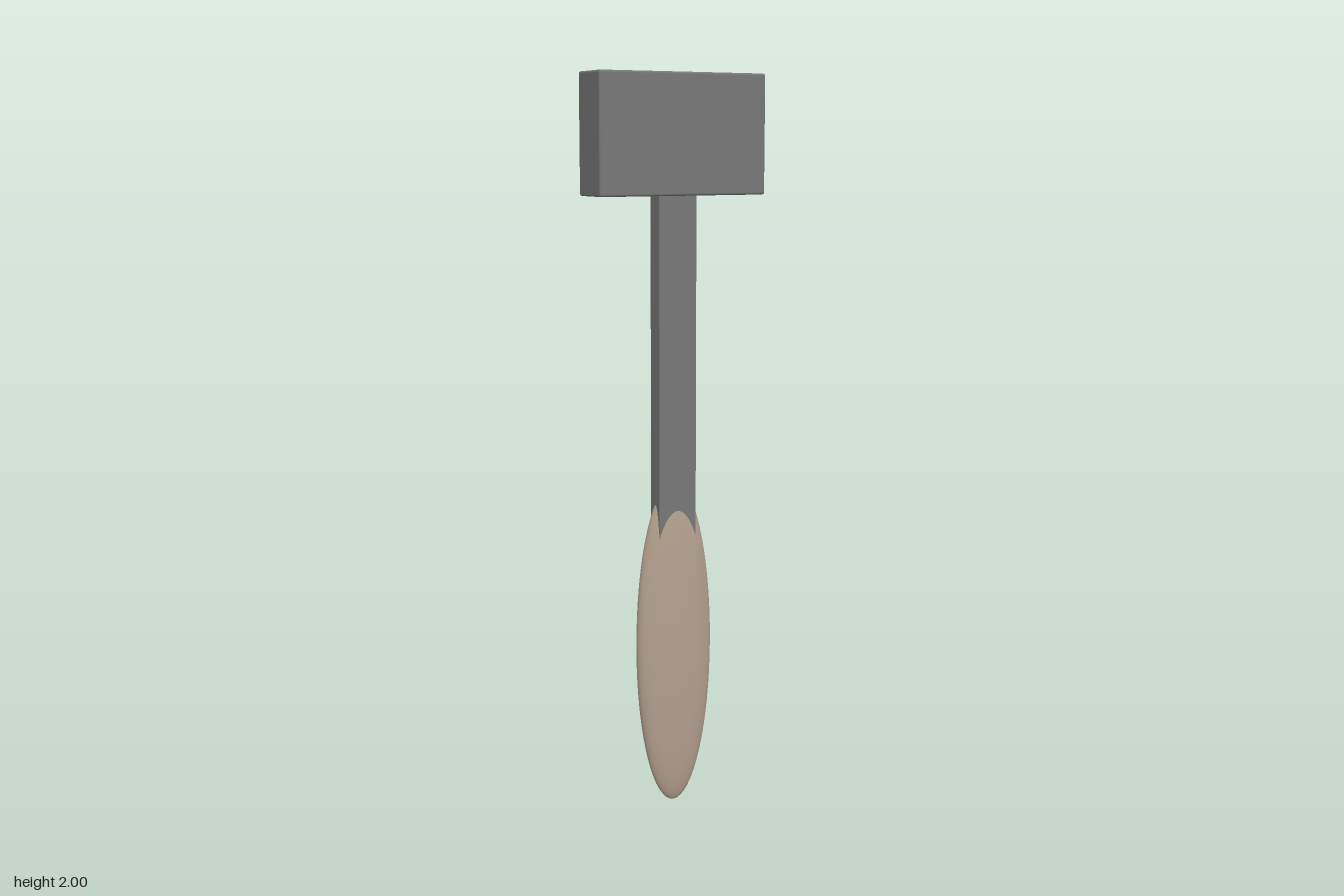
import * as THREE from 'three';
import { RoundedBoxGeometry } from 'three/addons/geometries/RoundedBoxGeometry.js';

export function createModel() {
  const model = new THREE.Group();
  model.name = 'hammer';

  const steel = new THREE.MeshStandardMaterial({ color: 0x777777 });
  steel.name = 'grey steel';
  const wood = new THREE.MeshStandardMaterial({ color: 0xb3a08e });
  wood.name = 'pale wood';

  const add = (name, geometry, material, y) => {
    const mesh = new THREE.Mesh(geometry, material);
    mesh.name = name;
    mesh.position.y = y;
    model.add(mesh);
  };

  // Block head with slightly softened edges
  add('head', new RoundedBoxGeometry(0.49, 0.315, 0.122, 2, 0.006), steel, 1.8425);

  // Flat bar running from inside the grip up into the head
  add('shaft', new THREE.BoxGeometry(0.112, 1.0, 0.048), steel, 1.2);

  // Flattened ellipsoid grip, its tip hidden inside the shaft
  const grip = new THREE.SphereGeometry(1, 48, 32).scale(0.114, 0.458, 0.043);
  add('grip', grip, wood, 0.461);

  // Stand exactly on the ground
  model.children[2].position.y = 0.458;

  return model;
}
